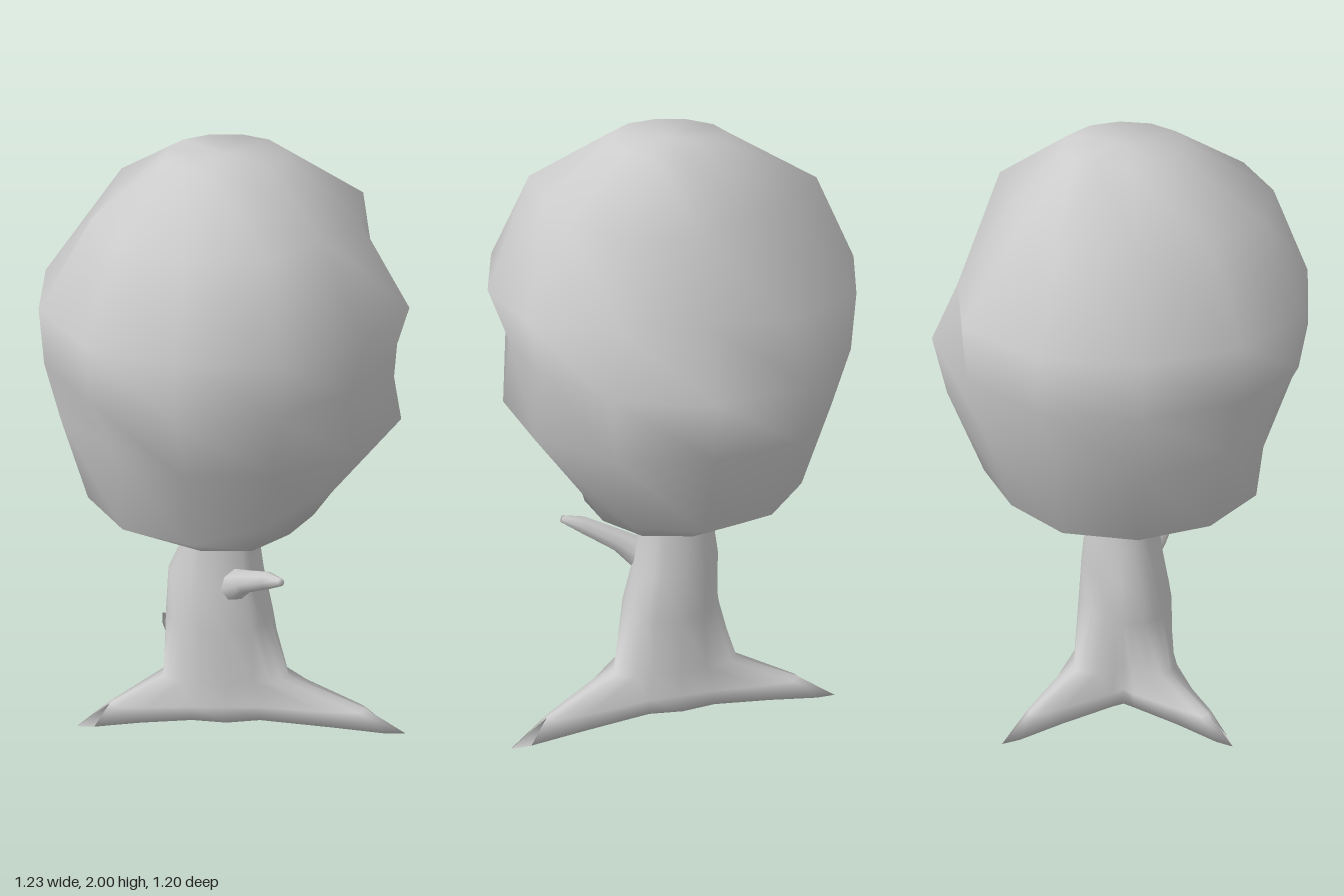
import * as THREE from 'three';

const rad = THREE.MathUtils.degToRad;

// Closed smooth skin over a stack of rings with equal point counts, capped at both ends
function loft(rings) {
  const n = rings[0].length, pos = [], index = [];
  rings.forEach(ring => ring.forEach(p => pos.push(...p)));
  for (let j = 0; j < rings.length - 1; j++) {
    for (let i = 0; i < n; i++) {
      const a = j * n + i, b = j * n + (i + 1) % n;
      index.push(a, a + n, b + n, a, b + n, b);
    }
  }
  const cap = (j, flip) => {
    const c = pos.length / 3;
    pos.push(...[0, 1, 2].map(k => rings[j].reduce((s, p) => s + p[k], 0) / n));
    for (let i = 0; i < n; i++) {
      const a = j * n + i, b = j * n + (i + 1) % n;
      index.push(c, ...(flip ? [a, b] : [b, a]));
    }
  };
  cap(0, true);
  cap(rings.length - 1, false);
  const geo = new THREE.BufferGeometry();
  geo.setAttribute('position', new THREE.Float32BufferAttribute(pos, 3));
  geo.setIndex(index);
  geo.computeVertexNormals();
  return geo;
}

// Trunk flaring into three tapering roots
function trunkGeometry() {
  // Root angle, length, and angle of the hollow after it
  const roots = [[-23, 0.663, 45], [114, 0.552, 157], [201, 0.579, 269]];
  // Per level, [distance, half width, height] for root base, flank, toe and ridge, then the hollow
  const flare = L => [
    [[0.17, 0.11, 0], [0.62 * L, 0.06, 0], [0.9 * L, 0.025, 0], [L, 0, 0], [0.18, 0, 0]],
    [[0.165, 0.105, 0.05], [0.58 * L, 0.05, 0.05], [0.75 * L, 0.025, 0.06], [0.78 * L, 0, 0.065], [0.175, 0, 0.06]],
    [[0.14, 0.095, 0.14], [0.19, 0.06, 0.13], [0.22, 0.03, 0.13], [0.235, 0, 0.13], [0.16, 0, 0.14]],
  ];
  const rings = [0, 1, 2].map(level => roots.flatMap(([deg, L, gap]) => {
    const [base, flank, toe, ridge, hollow] = flare(L)[level];
    const put = ([d, w, y], side, angle = deg) => {
      const c = Math.cos(rad(angle)), s = Math.sin(rad(angle));
      return [d * c - side * w * s, y, d * s + side * w * c];
    };
    return [put(base, -1), put(flank, -1), put(toe, -1), put(ridge, 0),
      put(toe, 1), put(flank, 1), put(base, 1), put(hollow, 0, gap)];
  }));
  // Round upper trunk: height, radius, sideways lean, knot on the front right
  for (const [y, r, x, knot] of [[0.35, 0.162, 0, 0.045], [0.51, 0.143, -0.02, 0.04], [0.62, 0.13, -0.022, 0], [0.78, 0.112, -0.025, 0], [0.95, 0.1, -0.025, 0]]) {
    rings.push(roots.flatMap(([deg, , gap]) =>
      [deg - 35, deg - 23, deg - 11, deg, deg + 11, deg + 23, deg + 35, gap].map(a => {
        const q = r + knot * Math.max(0, Math.cos(rad(a - 135))) ** 5;
        return [x + q * Math.cos(rad(a)), y, q * Math.sin(rad(a))];
      })));
  }
  return loft(rings);
}

// Short tapered branch with a swollen base
function branchGeometry() {
  const stations = [[0, 0.46, 0.03, 0.07], [0.1, 0.517, 0.052, 0.055],
    [0.16, 0.56, 0.068, 0.04], [0.28, 0.625, 0.09, 0.03], [0.35, 0.652, 0.1, 0.013]];
  return loft(stations.map(([x, y, z, r]) => Array.from({ length: 8 }, (_, i) => {
    const a = i / 8 * Math.PI * 2, v = r * Math.sin(a);
    return [x - 0.45 * v, y + 0.89 * v, z + r * Math.cos(a)];
  })));
}

// Rounded crown with dents, bulges and a hollow underside
function crownGeometry() {
  const n = 12;
  // Height and radius, starting inside the hollow
  const levels = [[0.93, 0.13], [0.765, 0.32], [0.86, 0.47], [1.16, 0.55], [1.36, 0.595], [1.55, 0.605], [1.83, 0.465], [2.0, 0.19]];
  // [level, column, radius]; column 0 is +x, 3 is +z
  const dents = [
    [1, 0, 0.29], [1, 11, 0.3], [2, 0, 0.31], [2, 11, 0.36], [2, 1, 0.36], [2, 2, 0.45], [2, 10, 0.44], [2, 7, 0.45],
    [3, 3, 0.5], [3, 4, 0.55], [3, 5, 0.59], [3, 6, 0.53], [3, 7, 0.54], [3, 8, 0.58], [3, 9, 0.57], [3, 10, 0.58], [3, 11, 0.58],
    [4, 0, 0.52], [4, 11, 0.54], [4, 10, 0.59], [4, 1, 0.56], [4, 6, 0.61], [4, 8, 0.62],
    [5, 0, 0.585], [5, 6, 0.615], [5, 8, 0.53], [5, 9, 0.43], [5, 10, 0.5], [5, 11, 0.59], [5, 2, 0.585],
    [6, 0, 0.4], [6, 4, 0.43], [6, 5, 0.37], [6, 6, 0.48], [6, 7, 0.38], [6, 8, 0.34], [6, 9, 0.44], [6, 10, 0.45], [6, 11, 0.42],
  ];
  return loft(levels.map(([y, r], j) => Array.from({ length: n }, (_, i) => {
    const dent = dents.find(d => d[0] === j && d[1] === i);
    const a = i / n * Math.PI * 2, q = dent ? dent[2] : r;
    return [q * Math.cos(a), y, q * Math.sin(a)];
  })));
}

export function createModel() {
  const group = new THREE.Group();
  group.name = 'tree';
  const material = new THREE.MeshStandardMaterial({ color: 0xcccccc });
  const parts = { trunkAndRoots: trunkGeometry(), branch: branchGeometry(), crown: crownGeometry() };
  for (const [name, geometry] of Object.entries(parts)) {
    const mesh = new THREE.Mesh(geometry, material);
    mesh.name = name;
    group.add(mesh);
  }
  return group;
}
